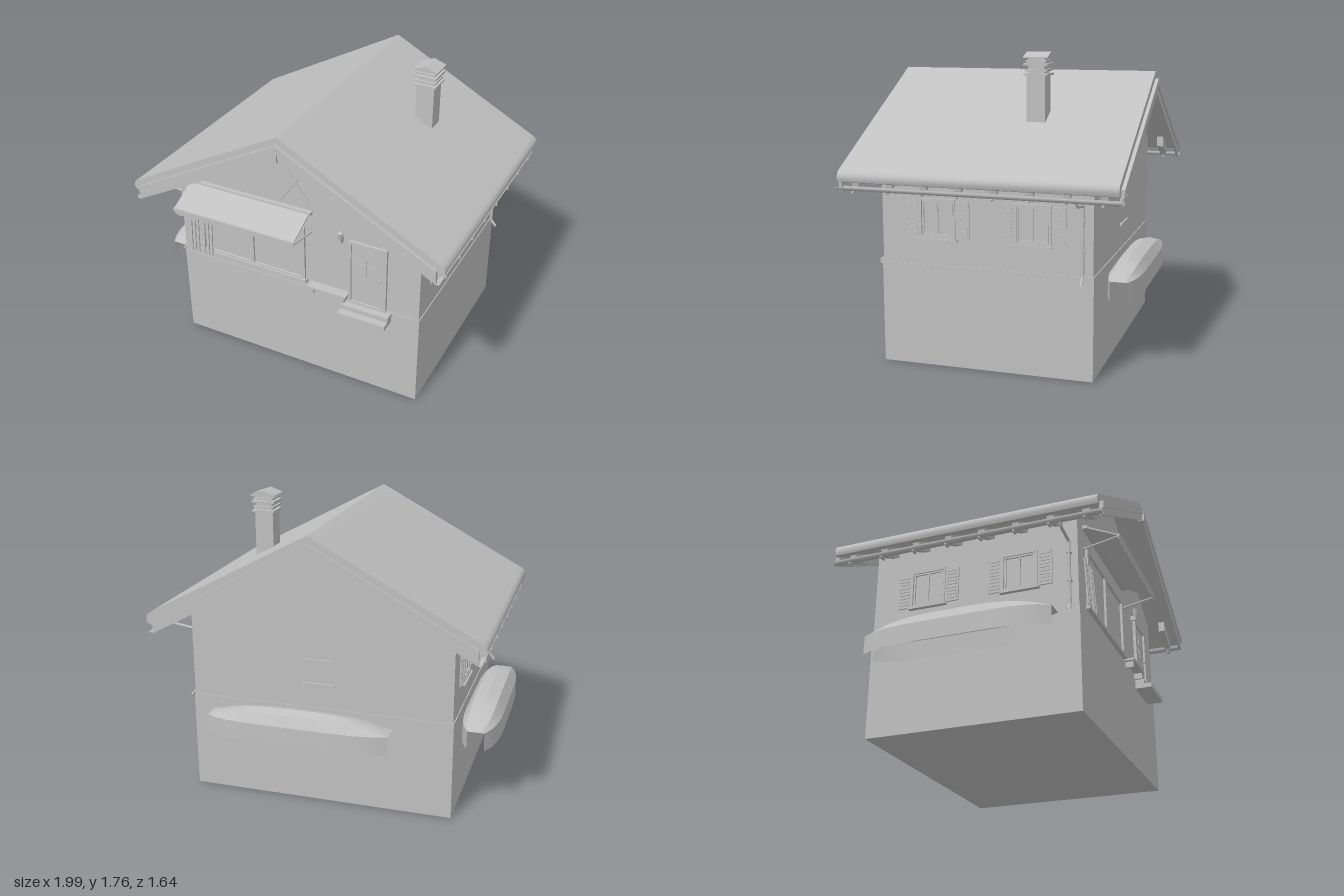
import * as THREE from 'three';
import { toCreasedNormals } from 'three/addons/utils/BufferGeometryUtils.js';

const CX = 0.015; // ridge line, the house is symmetric about it
const grey = new THREE.MeshStandardMaterial({ color: 0xc0c0c0, side: THREE.DoubleSide });
grey.name = 'plain grey';

function add(parent, name, geo) {
  const m = new THREE.Mesh(geo, grey);
  m.name = name;
  parent.add(m);
  return m;
}

// Box given by its limits
function box(parent, name, x0, x1, y0, y1, z0, z1) {
  const m = add(parent, name, new THREE.BoxGeometry(x1 - x0, y1 - y0, z1 - z0));
  m.position.set((x0 + x1) / 2, (y0 + y1) / 2, (z0 + z1) / 2);
  return m;
}

// Polygon in x,y pushed from z0 to z1
function prism(parent, name, pts, z0, z1) {
  const shape = new THREE.Shape(pts.map(p => new THREE.Vector2(p[0], p[1])));
  const geo = new THREE.ExtrudeGeometry(shape, { depth: z1 - z0, bevelEnabled: false });
  geo.translate(0, 0, z0);
  return add(parent, name, toCreasedNormals(geo, 0.6));
}

// Outline of the right half mirrored about the ridge line
const mirrored = half => [
  ...half.map(([x, y]) => [CX + x, y]),
  ...half.slice().reverse().map(([x, y]) => [CX - x, y])
].filter((p, i, a) => i === 0 || p[0] !== a[i - 1][0] || p[1] !== a[i - 1][1]);

function tube(parent, name, pts, r) {
  const path = new THREE.CurvePath();
  const v = pts.map(p => new THREE.Vector3(...p));
  for (let i = 1; i < v.length; i++) path.add(new THREE.LineCurve3(v[i - 1], v[i]));
  return add(parent, name, new THREE.TubeGeometry(path, 40, r, 8));
}

// Frame of four bars around an opening, facing +z
function frame(parent, name, x0, x1, y0, y1, t, z0, z1) {
  box(parent, name, x0, x0 + t, y0, y1, z0, z1);
  box(parent, name, x1 - t, x1, y0, y1, z0, z1);
  box(parent, name, x0 + t, x1 - t, y1 - t, y1, z0, z1);
  box(parent, name, x0 + t, x1 - t, y0, y0 + t, z0, z1);
}

// Side window with louvred shutters, facing +z
function shutteredWindow() {
  const g = new THREE.Group();
  g.name = 'shutteredWindow';
  frame(g, 'windowFrame', -0.107, 0.107, 0.74, 0.965, 0.014, 0, 0.014);
  frame(g, 'windowSash', -0.09, 0.09, 0.755, 0.95, 0.01, 0, 0.009);
  box(g, 'windowMullion', -0.004, 0.004, 0.755, 0.95, 0, 0.008);
  box(g, 'windowSill', -0.115, 0.115, 0.728, 0.74, 0, 0.024);
  for (const s of [-1, 1]) {
    const c = s * 0.147;
    box(g, 'shutter', c - 0.04, c + 0.04, 0.745, 0.957, 0, 0.008);
    for (let i = 0; i < 9; i++)
      box(g, 'shutterSlat', c - 0.03, c + 0.03, 0.762 + i * 0.021, 0.771 + i * 0.021, 0.008, 0.012);
  }
  return g;
}

// Hollow bowed canopy shell lying along x, narrow and low at its ends
function canopy(halfLength, halfWidth, top) {
  const xs = [1, 0.97, 0.62, 0], ys = [0.42, 0.53, top - 0.02, top];
  const pos = [], idx = [], N = 16;
  for (let i = 0; i <= N; i++) {
    const t = (i / N) * 2 - 1;
    const w = 0.05 + (halfWidth - 0.05) * (1 - Math.abs(t) ** 5);
    const k = 1 - Math.abs(t) ** 3;
    for (let j = 0; j < 7; j++) {
      const h = j < 4 ? j : 6 - j;
      const y = Math.min(ys[h], 0.53) + Math.max(0, ys[h] - 0.53) * k;
      pos.push(t * halfLength, y, (j < 4 ? 1 : -1) * xs[h] * w);
      if (i < N && j < 6) {
        const a = i * 7 + j;
        idx.push(a, a + 7, a + 1, a + 1, a + 7, a + 8);
      }
    }
  }
  const geo = new THREE.BufferGeometry();
  geo.setAttribute('position', new THREE.Float32BufferAttribute(pos, 3));
  geo.setIndex(idx);
  return toCreasedNormals(geo, 0.5);
}

export function createModel() {
  const house = new THREE.Group();
  house.name = 'chalet';

  // Walls and roof
  box(house, 'foundation', -0.77, 0.8, 0, 0.585, -0.62, 0.61);
  prism(house, 'upperWalls', mirrored([[0.78, 0.58], [0.78, 1.15], [0, 1.575]]), -0.615, 0.605);
  prism(house, 'roof', mirrored([[0, 1.58], [0.955, 1.06], [0.97, 1.065], [0.978, 1.085],
    [0.976, 1.105], [0.965, 1.122], [0.945, 1.135], [0, 1.64]]), -0.79, 0.78);

  // Gable boards at both ends
  for (const [s, z] of [[1, 0.775], [-1, -0.785]]) {
    const board = (name, d0, d1, out) => prism(house, name,
      mirrored([[0, 1.585 - d1], [0.935, 1.085 - d1], [0.935, 1.085 - d0], [0, 1.585 - d0]]),
      Math.min(z, z + s * out), Math.max(z, z + s * out));
    board('gableBoard', 0, 0.075, 0.016);
    board('gableTrim', -0.012, 0.03, 0.025);
    box(house, 'gablePost', CX - 0.012, CX + 0.012, 1.5, 1.58, z - 0.012, z + 0.028);
  }

  // Eaves: rafters, gutters, downpipes and shuttered windows on both sides
  for (const s of [-1, 1]) {
    const X = d => CX + s * d;
    for (let i = 0; i < 8; i++) {
      const z = 0.7 - i * 0.2;
      prism(house, 'rafter', [[X(0.77), 1.16], [X(0.925), 1.075], [X(0.915), 1.025], [X(0.77), 1.095]],
        z - 0.02, z + 0.02);
      box(house, 'gutterBracket', X(0.94) - 0.02, X(0.94) + 0.02, 1.003, 1.012, z - 0.006, z + 0.006);
    }
    const gutter = add(house, 'gutter',
      new THREE.CylinderGeometry(0.022, 0.022, 1.6, 10, 1, true, -Math.PI / 2, Math.PI));
    gutter.rotation.x = Math.PI / 2;
    gutter.position.set(X(0.94), 1.035, -0.005);
    const pz = s > 0 ? -0.56 : 0.56;
    tube(house, 'downpipe', [[X(0.94), 1.015, pz], [X(0.93), 0.995, pz], [X(0.795), 0.975, pz],
      [X(0.795), 0.59, pz], [X(0.828), 0.55, pz]], 0.009);
    for (const y of [0.73, 0.9])
      box(house, 'pipeClamp', X(0.793) - 0.013, X(0.793) + 0.013, y, y + 0.01, pz - 0.012, pz + 0.012);
    for (const z of [0.272, -0.28]) {
      const w = shutteredWindow();
      w.rotation.y = s * Math.PI / 2;
      w.position.set(X(0.78), 0, z);
      house.add(w);
    }
  }

  // Chimney with bands and a small pitched cap
  box(house, 'chimneyShaft', 0.41, 0.52, 1.375, 1.64, -0.265, -0.157);
  box(house, 'chimneyNeck', 0.417, 0.513, 1.63, 1.74, -0.26, -0.165);
  for (const [y, w] of [[1.632, 0.068], [1.655, 0.062], [1.687, 0.07], [1.705, 0.06]])
    box(house, 'chimneyBand', 0.465 - w, 0.465 + w, y, y + 0.012, -0.212 - w, -0.212 + w);
  prism(house, 'chimneyCap', [[0.39, 1.728], [0.54, 1.728], [0.54, 1.735], [0.465, 1.762], [0.39, 1.735]],
    -0.284, -0.143);

  // Shop window
  const F = 0.605;
  frame(house, 'shopWindowFrame', -0.635, 0.08, 0.63, 1.0, 0.022, F, F + 0.015);
  box(house, 'shopWindowMullion', -0.29, -0.265, 0.65, 0.985, F, F + 0.013);
  box(house, 'shopWindowSill', -0.645, 0.09, 0.622, 0.642, F, F + 0.025);

  // Awning: housing, sloped cloth, scalloped valance and arms
  box(house, 'awningHousing', -0.677, 0.13, 1.1, 1.12, F, F + 0.03);
  const cloth = prism(house, 'awningCloth',
    [[0.62, 1.108], [0.81, 1.018], [0.81, 1.026], [0.62, 1.118]], 0, 0.79);
  cloth.rotation.y = -Math.PI / 2;
  cloth.position.x = 0.12;
  box(house, 'awningFrontBar', -0.673, 0.123, 1.014, 1.028, 0.8, 0.816);
  const scallops = [[0.12, 1.02], [-0.67, 1.02]];
  for (let i = 0; i <= 60; i++)
    scallops.push([-0.67 + i * 0.79 / 60, 1.0 - 0.016 * Math.abs(Math.sin(i * Math.PI / 6))]);
  prism(house, 'awningValance', scallops, 0.806, 0.811);
  for (const x of [-0.668, 0.118])
    tube(house, 'awningArm', [[x, 0.975, F], [x, 1.015, 0.805]], 0.006);

  // Upright skis against the wall
  [-0.7, -0.675, -0.65, -0.608, -0.58, -0.555].forEach((x, i) => {
    const ski = box(house, 'ski', x - 0.007, x + 0.007, 0.62, 0.9, F + 0.02, F + 0.028);
    ski.rotation.x = -0.05 - 0.01 * (i % 2);
  });

  // Crossed skis on the gable
  for (const s of [-1, 1]) {
    const bar = box(house, 'crossedSki', CX - 0.015, CX + 0.015, 1.122, 1.448, F, F + (s > 0 ? 0.012 : 0.02));
    bar.rotation.z = s * 0.61;
  }

  // Door with frame, panels, knob and steps
  frame(house, 'doorFrame', 0.36, 0.598, 0.575, 1.0, 0.018, F, F + 0.018);
  box(house, 'doorLeaf', 0.378, 0.58, 0.585, 0.982, F, F + 0.006);
  box(house, 'doorCrossbar', 0.4, 0.54, 0.855, 0.863, F, F + 0.01);
  box(house, 'doorMullion', 0.465, 0.473, 0.78, 0.94, F, F + 0.01);
  add(house, 'doorKnob', new THREE.SphereGeometry(0.009, 10, 8)).position.set(0.555, 0.785, F + 0.016);
  box(house, 'upperStep', 0.335, 0.63, 0.552, 0.58, 0.6, 0.665);
  box(house, 'lowerStep', 0.335, 0.63, 0.523, 0.552, 0.6, 0.71);

  // Bench
  box(house, 'benchSeat', 0.115, 0.365, 0.622, 0.637, F, 0.665);
  for (const x of [0.135, 0.335]) box(house, 'benchLeg', x, x + 0.015, 0.585, 0.622, F, 0.655);

  // Wall lamp
  const lamp = add(house, 'lampShade', new THREE.CylinderGeometry(0.018, 0.01, 0.045, 6));
  lamp.position.set(0.32, 1.025, F + 0.03);
  add(house, 'lampCap', new THREE.ConeGeometry(0.02, 0.015, 6)).position.set(0.32, 1.056, F + 0.03);
  box(house, 'lampBracket', 0.314, 0.326, 0.98, 1.01, F, F + 0.034);

  // Back wall ledges
  box(house, 'backLedge', -0.08, 0.11, 0.875, 0.882, -0.625, -0.61);
  box(house, 'backLedge', -0.08, 0.11, 0.725, 0.737, -0.625, -0.61);

  // Bowed canopies beside the left-hand and back walls
  const side = add(house, 'sideCanopy', canopy(0.54, 0.115, 0.615));
  side.rotation.y = Math.PI / 2;
  side.position.set(-0.885, 0, -0.03);
  add(house, 'backCanopy', canopy(0.54, 0.1, 0.605)).position.set(0.11, 0, -0.722);

  return house;
}
